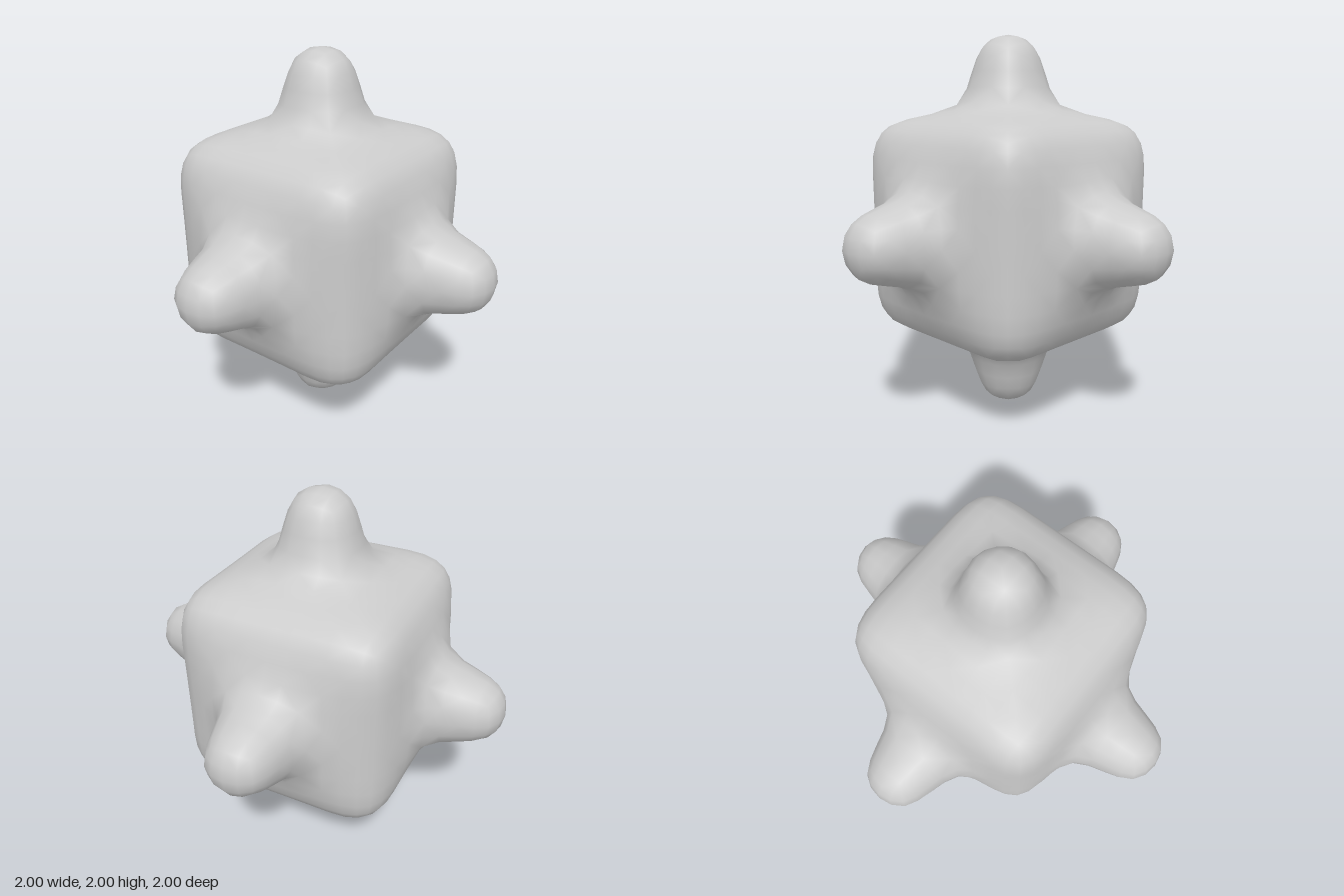
import * as THREE from 'three';

// Cage sizes: cube corners, cube edges, spike base and spike tip
const CORNER = 0.578, EDGE = 0.566, EDGE_IN = 0.2;
const BASE = 0.192, BASE_H = 0.606, TIP = 0.2, TIP_H = 1.0255;

// Cube cage with a 3 x 3 grid on each side, the middle cell pulled out into a spike
function buildCage() {
  const verts = [], quads = [], ids = new Map();
  const vertex = (p) => {
    const key = p.map((c) => Math.round(c * 1e4)).join();
    if (!ids.has(key)) {
      ids.set(key, verts.length);
      verts.push(new THREE.Vector3(...p));
    }
    return ids.get(key);
  };
  for (let n = 0; n < 3; n++) {
    for (const s of [1, -1]) {
      const u = (n + (s > 0 ? 1 : 2)) % 3, v = (n + (s > 0 ? 2 : 1)) % 3;
      const at = (a, b, h) => {
        const p = [0, 0, 0];
        p[u] = a; p[v] = b; p[n] = s * h;
        return vertex(p);
      };
      const sign = (i) => (i < 2 ? -1 : 1);
      const outer = (i) => i === 0 || i === 3;
      const grid = (i, j) => {
        const a = sign(i), b = sign(j);
        if (outer(i) && outer(j)) return at(a * CORNER, b * CORNER, CORNER);
        if (outer(i)) return at(a * EDGE, b * EDGE_IN, EDGE);
        if (outer(j)) return at(a * EDGE_IN, b * EDGE, EDGE);
        return at(a * BASE, b * BASE, BASE_H);
      };
      for (let i = 0; i < 3; i++) {
        for (let j = 0; j < 3; j++) {
          const ring = [grid(i, j), grid(i + 1, j), grid(i + 1, j + 1), grid(i, j + 1)];
          if (i !== 1 || j !== 1) {
            quads.push(ring);
            continue;
          }
          const top = [[-1, -1], [1, -1], [1, 1], [-1, 1]].map(([a, b]) => at(a * TIP, b * TIP, TIP_H));
          quads.push(top);
          ring.forEach((r, k) => {
            const m = (k + 1) % 4;
            quads.push([r, ring[m], top[m], top[k]]);
          });
        }
      }
    }
  }
  return { verts, quads };
}

// One round of Catmull-Clark smoothing on a closed quad mesh
function subdivide({ verts, quads }) {
  const V = () => new THREE.Vector3();
  const out = verts.map(V), edges = new Map();
  const around = verts.map(() => ({ faces: V(), mids: V(), n: 0 }));
  const edgeKey = (a, b) => (a < b ? `${a}_${b}` : `${b}_${a}`);
  const faceIds = quads.map((q) => {
    const centre = V();
    q.forEach((i) => centre.addScaledVector(verts[i], 0.25));
    q.forEach((a, k) => {
      const b = q[(k + 1) % 4], key = edgeKey(a, b);
      if (!edges.has(key)) edges.set(key, { a, b, sum: V().add(verts[a]).add(verts[b]) });
      edges.get(key).sum.add(centre);
      around[a].faces.add(centre);
      around[a].n++;
    });
    return out.push(centre) - 1;
  });
  for (const e of edges.values()) {
    const mid = V().addVectors(verts[e.a], verts[e.b]).multiplyScalar(0.5);
    around[e.a].mids.add(mid);
    around[e.b].mids.add(mid);
    e.id = out.push(e.sum.multiplyScalar(0.25)) - 1;
  }
  verts.forEach((p, i) => {
    const { faces, mids, n } = around[i];
    out[i].addScaledVector(faces, 1 / (n * n))
      .addScaledVector(mids, 2 / (n * n))
      .addScaledVector(p, (n - 3) / n);
  });
  const next = [];
  quads.forEach((q, f) => q.forEach((a, k) => {
    const after = edges.get(edgeKey(a, q[(k + 1) % 4])).id;
    const before = edges.get(edgeKey(q[(k + 3) % 4], a)).id;
    next.push([a, after, faceIds[f], before]);
  }));
  return { verts: out, quads: next };
}

export function createModel() {
  const group = new THREE.Group();
  group.name = 'spikedCube';
  const mesh = subdivide(subdivide(buildCage()));

  // Smooth rounded cube with six blunt spikes
  const geometry = new THREE.BufferGeometry().setFromPoints(mesh.verts);
  geometry.setIndex(mesh.quads.flatMap(([a, b, c, d]) => [a, b, c, a, c, d]));
  geometry.computeVertexNormals();
  const body = new THREE.Mesh(geometry, new THREE.MeshStandardMaterial({ color: 0xcccccc }));
  body.name = 'spikedBody';
  body.position.y = 1;
  group.add(body);
  return group;
}
